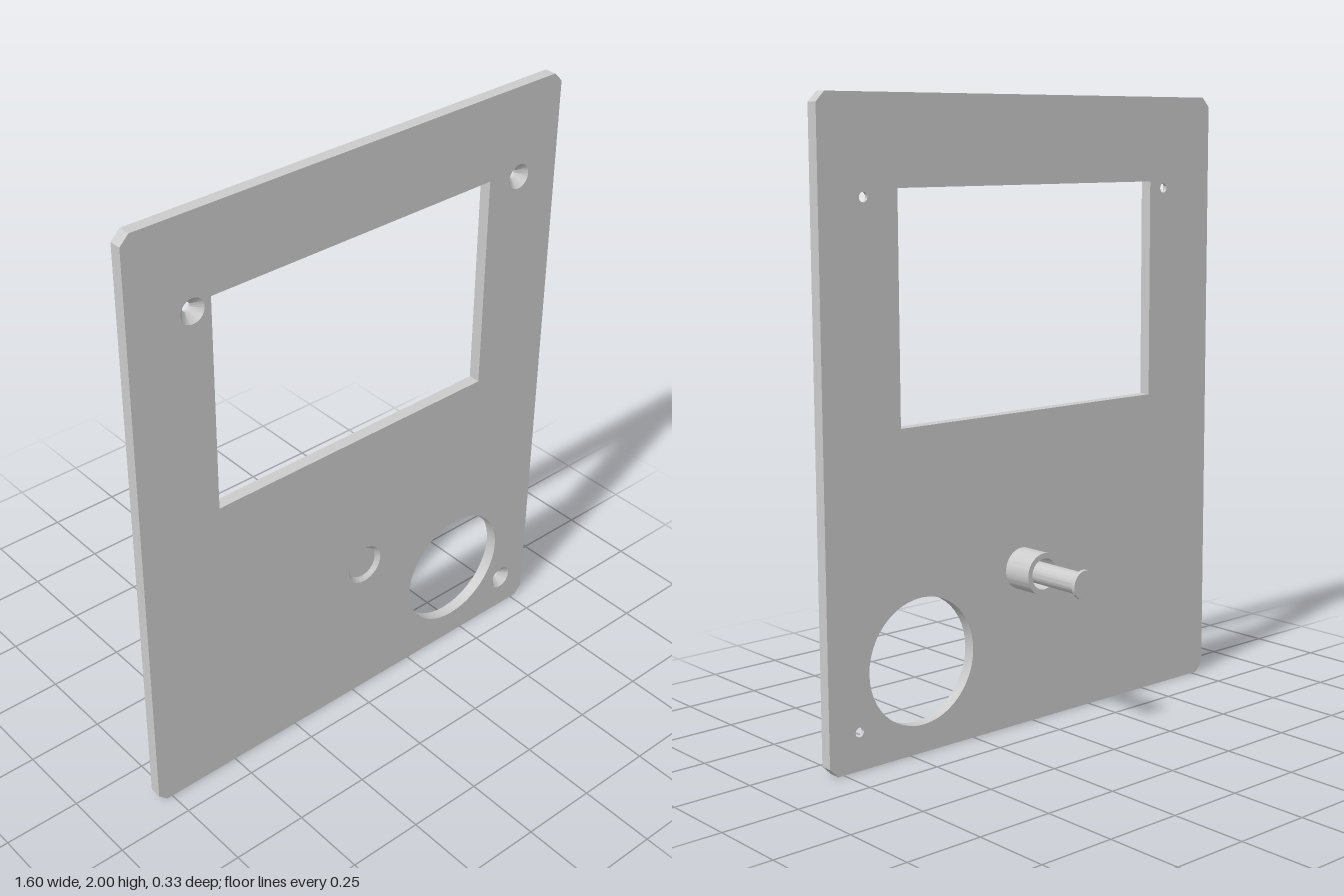
import * as THREE from 'three';
import { mergeGeometries, toCreasedNormals } from 'three/addons/utils/BufferGeometryUtils.js';

const BACK = 0.128, FRONT = 0.167, SEG = 48;
const V = (x, y) => new THREE.Vector2(x, y);

// Plate outline with clipped corners (counter-clockwise) and display window
const W = 0.8, H = 2, C = 0.03;
const outline = [V(-W + C, 0), V(W - C, 0), V(W, C), V(W, H - C),
  V(W - C, H), V(-W + C, H), V(-W, H - C), V(-W, C)];
const windowPts = [V(-0.523, 1.018), V(-0.523, 1.726), V(0.52, 1.726), V(0.52, 1.018)];

// Round openings: centre, radius at the front, radius at the back
const BUTTON = { x: 0.045, y: 0.515, front: 0.067, back: 0.067 };
const PORT = { x: 0.45, y: 0.29, front: 0.201, back: 0.201 };
const SCREWS = [[-0.585, 1.703], [0.643, 1.703], [0.69, 0.12]]
  .map(([x, y]) => ({ x, y, front: 0.04, back: 0.015 }));

// Revolved profile of [radius, z] pairs around the z axis
function revolve(profile, x, y) {
  const g = new THREE.LatheGeometry(profile.map(([r, z]) => V(r, z)), SEG);
  g.rotateX(Math.PI / 2);
  g.translate(x, y, 0);
  return toCreasedNormals(g.toNonIndexed(), 0.5);
}

// Flat plate face at depth z, pierced by the window and the round openings
function face(z, side) {
  const shape = new THREE.Shape(outline);
  shape.holes.push(new THREE.Path(windowPts));
  for (const h of [BUTTON, PORT, ...SCREWS]) {
    shape.holes.push(new THREE.Path().absarc(h.x, h.y, h[side], 0, Math.PI * 2, true));
  }
  const g = new THREE.ShapeGeometry(shape, SEG / 2);
  if (side === 'back') {
    g.index.array.reverse();
    g.computeVertexNormals();
  }
  g.translate(0, 0, z);
  return g.toNonIndexed();
}

// Straight walls along a closed loop, one flat panel per edge
function walls(points) {
  return points.map((a, i) => {
    const b = points[(i + 1) % points.length];
    const g = new THREE.PlaneGeometry(a.distanceTo(b), FRONT - BACK);
    g.rotateX(Math.PI / 2);
    g.rotateZ(Math.atan2(b.y - a.y, b.x - a.x));
    g.translate((a.x + b.x) / 2, (a.y + b.y) / 2, (FRONT + BACK) / 2);
    return g.toNonIndexed();
  });
}

export function createModel() {
  const model = new THREE.Group();
  const material = new THREE.MeshStandardMaterial({ color: 0xcccccc, side: THREE.DoubleSide });
  const add = (name, geometry) => {
    const mesh = new THREE.Mesh(geometry, material);
    mesh.name = name;
    model.add(mesh);
  };

  add('frontPlate', mergeGeometries([
    face(FRONT, 'front'), face(BACK, 'back'), ...walls(outline), ...walls(windowPts),
  ]));

  // Inner wall of the large round opening
  add('roundOpening', revolve([[PORT.front, FRONT], [PORT.back, BACK]], PORT.x, PORT.y));

  // Countersunk screw holes
  for (const s of SCREWS) {
    add('screwHole', revolve([[s.front, FRONT], [s.back, FRONT - 0.028], [s.back, BACK]], s.x, s.y));
  }

  // Push button: stem with end cap, hollow collar, and dished front pad
  add('pushButton', revolve([
    [0, -0.167], [0.046, -0.167], [0.046, -0.154], [0.035, -0.154], [0.035, 0.1],
    [0.05, 0.1], [0.05, 0.022], [0.067, 0.022], [0.067, BACK],
  ], BUTTON.x, BUTTON.y));
  add('buttonPad', revolve([
    [0.067, BACK], [0.067, FRONT], [0.054, FRONT - 0.013], [0, FRONT - 0.013],
  ].slice(1), BUTTON.x, BUTTON.y));

  return model;
}
